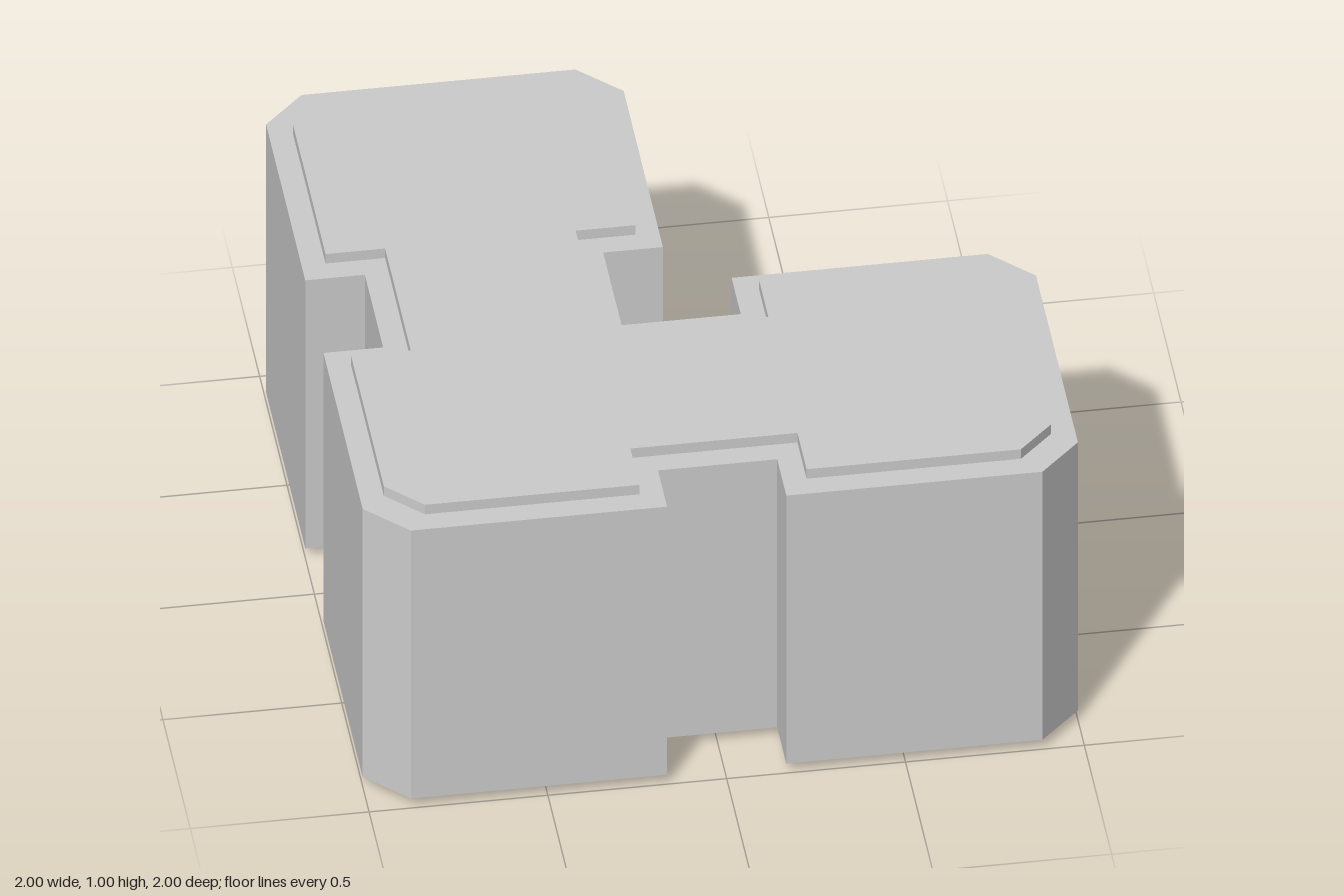
import * as THREE from 'three';

const NOTCH = 1 / 6; // half width and depth of the grooves between blocks

// L-shaped plan of three joined blocks, inset by d, outer corners cut by c
function planShape(d, c) {
  const e = 1 - d;      // outer edge
  const n = NOTCH + d;  // groove edge
  const w = 1 - NOTCH - d; // groove floor
  const points = [
    // back block
    [-e, -e + c], [-e + c, -e], [-d - c, -e], [-d, -e + c], [-d, -n],
    // inner corner
    [-n, -n], [-n, n], [n, n],
    // left block
    [n, d], [e - c, d], [e, d + c], [e, e - c], [e - c, e], [n, e],
    // front groove
    [n, w], [-n, w],
    // corner block
    [-n, e], [-e + c, e], [-e, e - c], [-e, n],
    // side groove
    [-w, n], [-w, -n], [-e, -n],
  ];
  return new THREE.Shape(points.map(([x, z]) => new THREE.Vector2(x, -z)));
}

function slab(name, shape, y0, y1, material) {
  const geometry = new THREE.ExtrudeGeometry(shape, { depth: y1 - y0, bevelEnabled: false });
  geometry.rotateX(-Math.PI / 2).translate(0, y0, 0);
  const mesh = new THREE.Mesh(geometry, material);
  mesh.name = name;
  return mesh;
}

export function createModel() {
  const group = new THREE.Group();
  group.name = 'cornerBlock';
  const grey = new THREE.MeshStandardMaterial({ color: 0xcccccc, flatShading: true });

  // main walls
  group.add(slab('body', planShape(0, 0.117), 0.033, 0.967, grey));
  // inset core, showing as a raised plate at the top and the bottom
  group.add(slab('insetPlates', planShape(0.067, 0.1), 0, 1, grey));
  return group;
}
